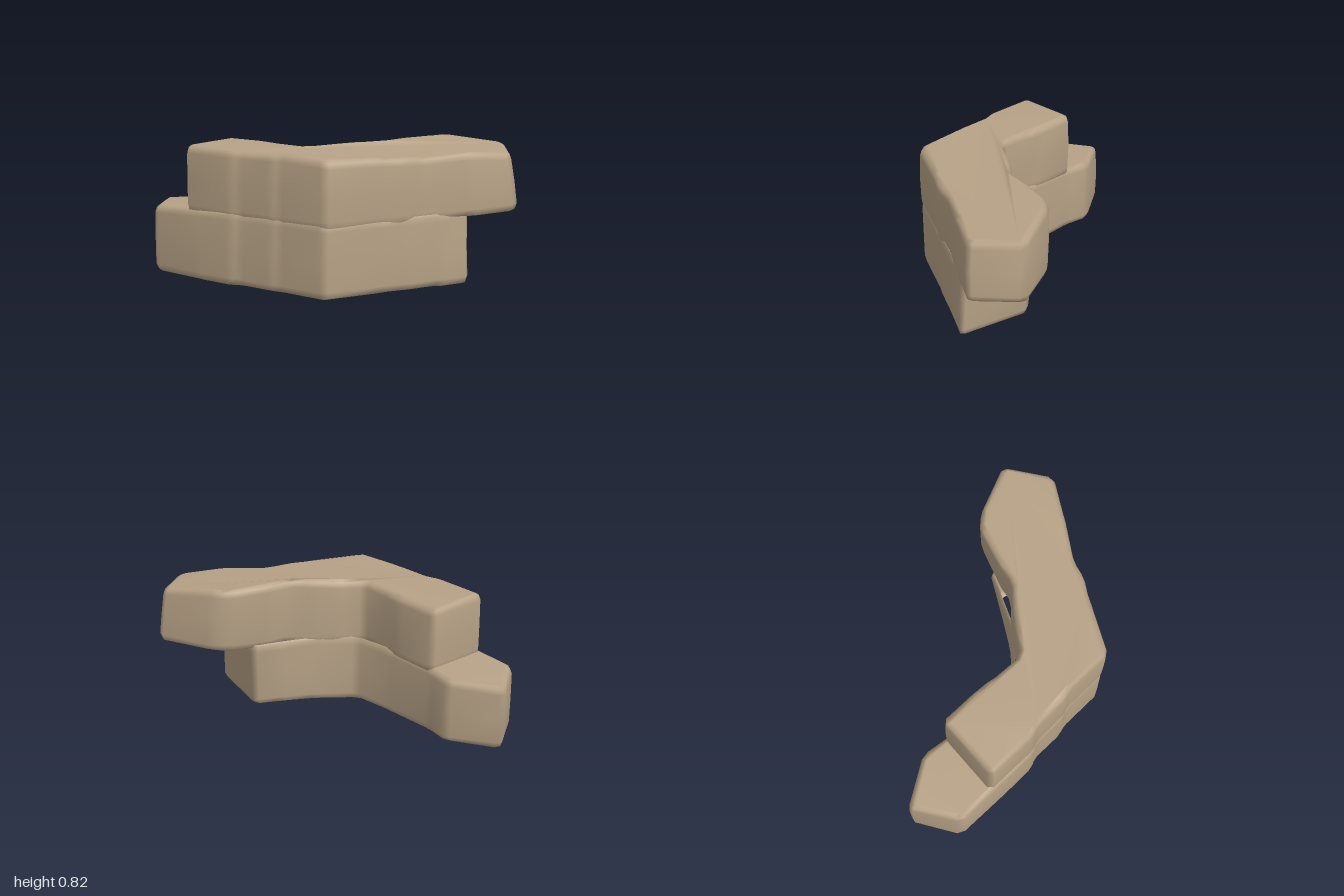
import * as THREE from 'three';

const stoneMaterial = new THREE.MeshStandardMaterial({ color: 0xb7a286, side: THREE.DoubleSide });
stoneMaterial.name = 'sandstone';

// Small repeatable unevenness
function seeded(seed) {
  let s = seed;
  return () => ((s = (s * 16807) % 2147483647) / 2147483647) - 0.5;
}

// Cut each plan corner so the upright edges are worn
function chamfer(plan, size) {
  const out = [];
  plan.forEach((p, i) => {
    const prev = plan[(i + plan.length - 1) % plan.length];
    const next = plan[(i + 1) % plan.length];
    for (const q of [prev, next]) {
      const t = Math.min(0.35, size / q.distanceTo(p));
      out.push(p.clone().lerp(q, t));
    }
  });
  return out;
}

// Move a plan inwards along its corner bisectors
function inset(plan, d) {
  const n = plan.length;
  const inward = (a, b) => new THREE.Vector2(b.y - a.y, a.x - b.x).normalize();
  return plan.map((p, i) => {
    const a = inward(plan[(i + n - 1) % n], p), b = inward(p, plan[(i + 1) % n]);
    const k = d / (1 + a.dot(b));
    return p.clone().addScaledVector(a.add(b), k);
  });
}

// One course of worn stones, hollow inside. Plan corners are [x, z]; floor and roof
// are heights over x and z; hasFloor and hasRoof tell where the course is closed;
// lean shifts the front end [x, z] between its foot and its top.
function course({ name, corners, floor, roof, hasFloor, hasRoof, lean, seed }) {
  const plan = chamfer(corners.map(([x, z]) => new THREE.Vector2(x, z)), 0.03);
  const rand = seeded(seed), n = plan.length, pos = [], index = [];
  // Rings: inset, share of the height, fixed height offset
  const rings = [
    [0.032, 0, 0], [0.011, 0, 0.012], [0, 0, 0.045], [-0.003, 0.5, 0],
    [0, 1, -0.045], [0.011, 1, -0.014], [0.032, 1, 0],
  ];
  for (const [d, t, dy] of rings) {
    const worn = inset(plan, d), joint = inset(plan, d * 0.4);
    plan.forEach((p, i) => {
      const exposed = t < 0.5 ? hasFloor(p) || floor(p) < 0.1 : hasRoof(p);
      const q = exposed ? worn[i] : joint[i];
      const w = THREE.MathUtils.clamp(p.x / 0.3, 0, 1) * (t - 0.5);
      const y = THREE.MathUtils.lerp(floor(p), roof(p), t) + dy;
      pos.push(q.x + lean[0] * w + rand() * 0.005, y + rand() * 0.005, q.y + lean[1] * w + rand() * 0.005);
    });
  }
  for (let r = 0; r < rings.length - 1; r++) {
    for (let i = 0; i < n; i++) {
      const j = (i + 1) % n, a = r * n, b = a + n;
      index.push(a + i, a + j, b + j, a + i, b + j, b + i);
    }
  }
  // Closed faces above and below
  const flat = inset(plan, 0.032);
  const cap = (start, closed, up) => {
    const ids = [...plan.keys()].filter((i) => closed(plan[i]));
    for (const tri of THREE.ShapeUtils.triangulateShape(ids.map((i) => flat[i]), [])) {
      const [a, b, c] = tri.map((k) => ids[k]);
      const turn = flat[b].clone().sub(flat[a]).cross(flat[c].clone().sub(flat[a]));
      const [u, v] = (turn < 0) === up ? [b, c] : [c, b];
      index.push(start + a, start + u, start + v);
    }
  };
  cap((rings.length - 1) * n, hasRoof, true);
  cap(0, hasFloor, false);

  const geometry = new THREE.BufferGeometry();
  geometry.setAttribute('position', new THREE.Float32BufferAttribute(pos, 3));
  geometry.setIndex(index);
  geometry.computeVertexNormals();
  const mesh = new THREE.Mesh(geometry, stoneMaterial);
  mesh.name = name;
  return mesh;
}

export function createModel() {
  const wall = new THREE.Group();
  wall.name = 'brokenStoneWall';

  // Lower course: open underneath, with a ledge at the back
  wall.add(course({
    name: 'lowerCourse',
    corners: [
      // outer side, back to front
      [-0.67, -0.845], [-0.677, -0.5], [-0.675, -0.25], [-0.645, -0.2], [-0.645, 0.03], [-0.622, 0.07],
      [-0.625, 0.385], [-0.3, 0.565], [-0.17, 0.645], [0.02, 0.75], [0.2, 0.845],
      // inner side, front to back
      [0.318, 0.385], [0.17, 0.31], [-0.02, 0.205], [-0.225, 0.03], [-0.25, -0.21],
      [-0.25, -0.56], [-0.222, -0.72], [-0.395, -1.012],
    ],
    floor: () => 0.006,
    roof: (p) => 0.437 + 0.05 * Math.min(0, p.y + 0.4),
    hasFloor: () => false,
    hasRoof: (p) => p.y < -0.45,
    lean: [0.025, -0.03],
    seed: 11,
  }));

  // Upper course: stepped in at the back, overhanging at the front
  wall.add(course({
    name: 'upperCourse',
    corners: [
      // outer side, back to front
      [-0.662, -0.6], [-0.667, -0.25], [-0.64, -0.2], [-0.642, 0.03], [-0.62, 0.07],
      [-0.622, 0.39], [-0.3, 0.565], [-0.18, 0.643], [-0.07, 0.675], [0.18, 0.85], [0.42, 1.005],
      // inner side, front to back
      [0.68, 0.82], [0.535, 0.49], [0.455, 0.415], [0.22, 0.335], [0.08, 0.305], [-0.02, 0.205],
      [-0.14, 0.11], [-0.275, 0.02], [-0.26, -0.2], [-0.245, -0.3], [-0.247, -0.575],
    ],
    floor: (p) => 0.405 + 0.06 * Math.max(0, p.x - 0.25),
    // the roof rises to the middle, then dips to the front edge and the front end
    roof: (p) => 0.802 + 0.018 * THREE.MathUtils.clamp(4 * p.y, 0, 1) - 0.11 * Math.max(0, p.y - 0.5)
      - (p.x < 0 ? THREE.MathUtils.clamp(0.2 * (p.y - 0.25), 0, 0.03) : 0),
    hasFloor: (p) => p.x > 0.1,
    hasRoof: () => true,
    lean: [-0.022, -0.03],
    seed: 71,
  }));
  return wall;
}
